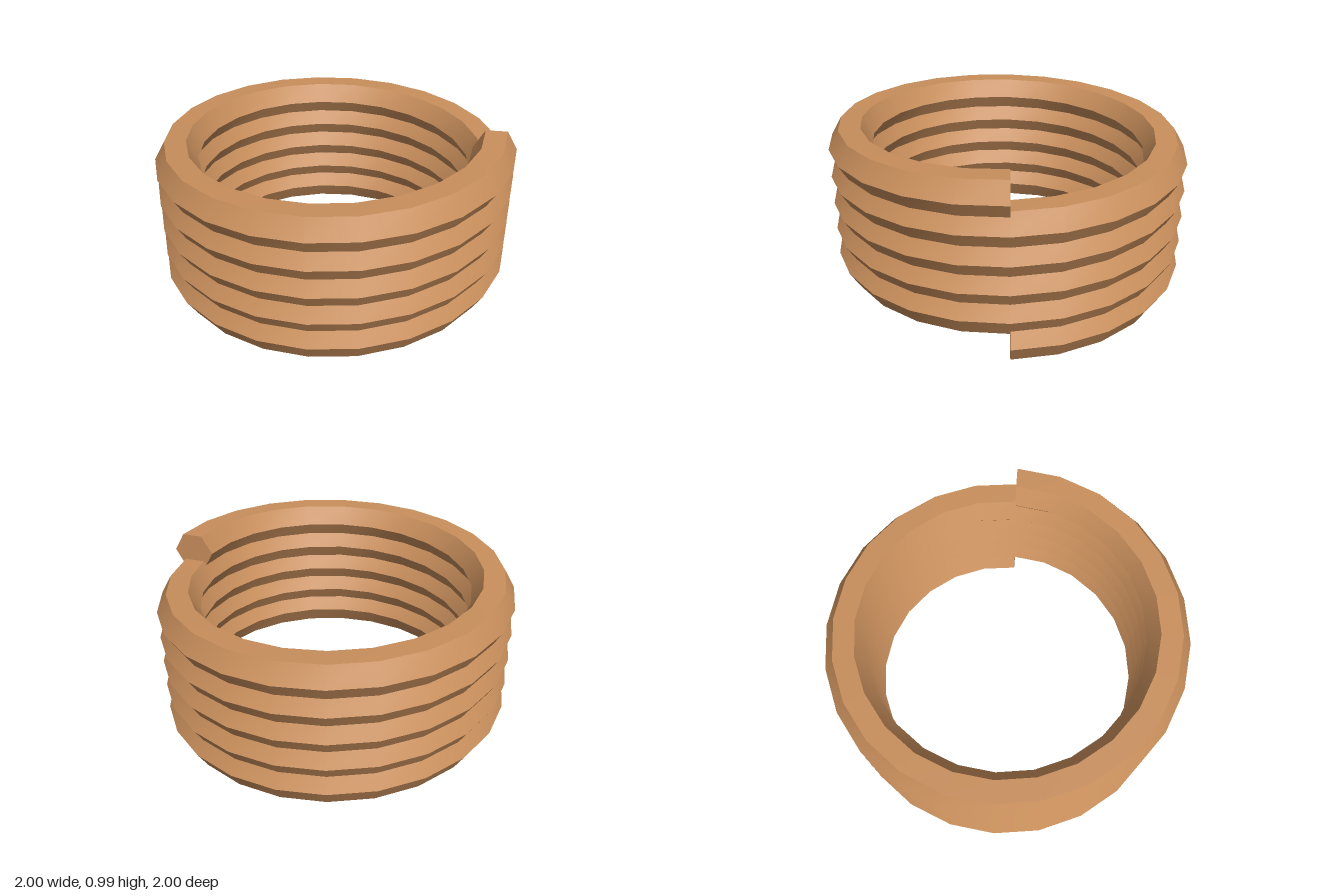
import * as THREE from 'three';

const TURNS = 5, STEPS = 24, PITCH = 0.158; // coil layout
const RADIUS = 0.882, BAR = 0.118, SIDES = 6; // coil radius and hexagonal bar size

// Point on the bar surface: step along the helix, corner around the hexagon
function barPoint(step, corner) {
  const t = (step / STEPS) * Math.PI * 2;
  const a = (corner / SIDES) * Math.PI * 2;
  const r = RADIUS + BAR * Math.cos(a);
  const y = BAR * Math.sin(Math.PI / 3) + (step / STEPS) * PITCH + BAR * Math.sin(a);
  return [r * Math.cos(t), y, -r * Math.sin(t)];
}

function makeGeometry(points, index) {
  const g = new THREE.BufferGeometry();
  g.setAttribute('position', new THREE.Float32BufferAttribute(points.flat(), 3));
  g.setIndex(index);
  g.computeVertexNormals();
  return g;
}

// One face of the bar, smooth along the coil and sharp at the hexagon corners
function stripGeometry(corner) {
  const points = [], index = [];
  for (let s = 0; s <= TURNS * STEPS; s++) {
    points.push(barPoint(s, corner), barPoint(s, corner + 1));
    if (s > 0) {
      const p = (s - 1) * 2;
      index.push(p, p + 2, p + 3, p, p + 3, p + 1);
    }
  }
  return makeGeometry(points, index);
}

// Flat hexagon closing one end of the bar
function capGeometry(step, reversed) {
  const points = [], index = [];
  for (let c = 0; c < SIDES; c++) points.push(barPoint(step, c));
  for (let c = 1; c < SIDES - 1; c++) index.push(0, reversed ? c + 1 : c, reversed ? c : c + 1);
  return makeGeometry(points, index);
}

export function createModel() {
  const model = new THREE.Group();
  model.name = 'coil';
  const copper = new THREE.MeshStandardMaterial({ color: 0xc98f5c });
  copper.name = 'copper';

  const add = (geometry, name) => {
    const mesh = new THREE.Mesh(geometry, copper);
    mesh.name = name;
    model.add(mesh);
  };

  // Six helical faces
  for (let c = 0; c < SIDES; c++) add(stripGeometry(c), `coilFace${c + 1}`);

  // Ends
  add(capGeometry(0, false), 'bottomEnd');
  add(capGeometry(TURNS * STEPS, true), 'topEnd');
  return model;
}
